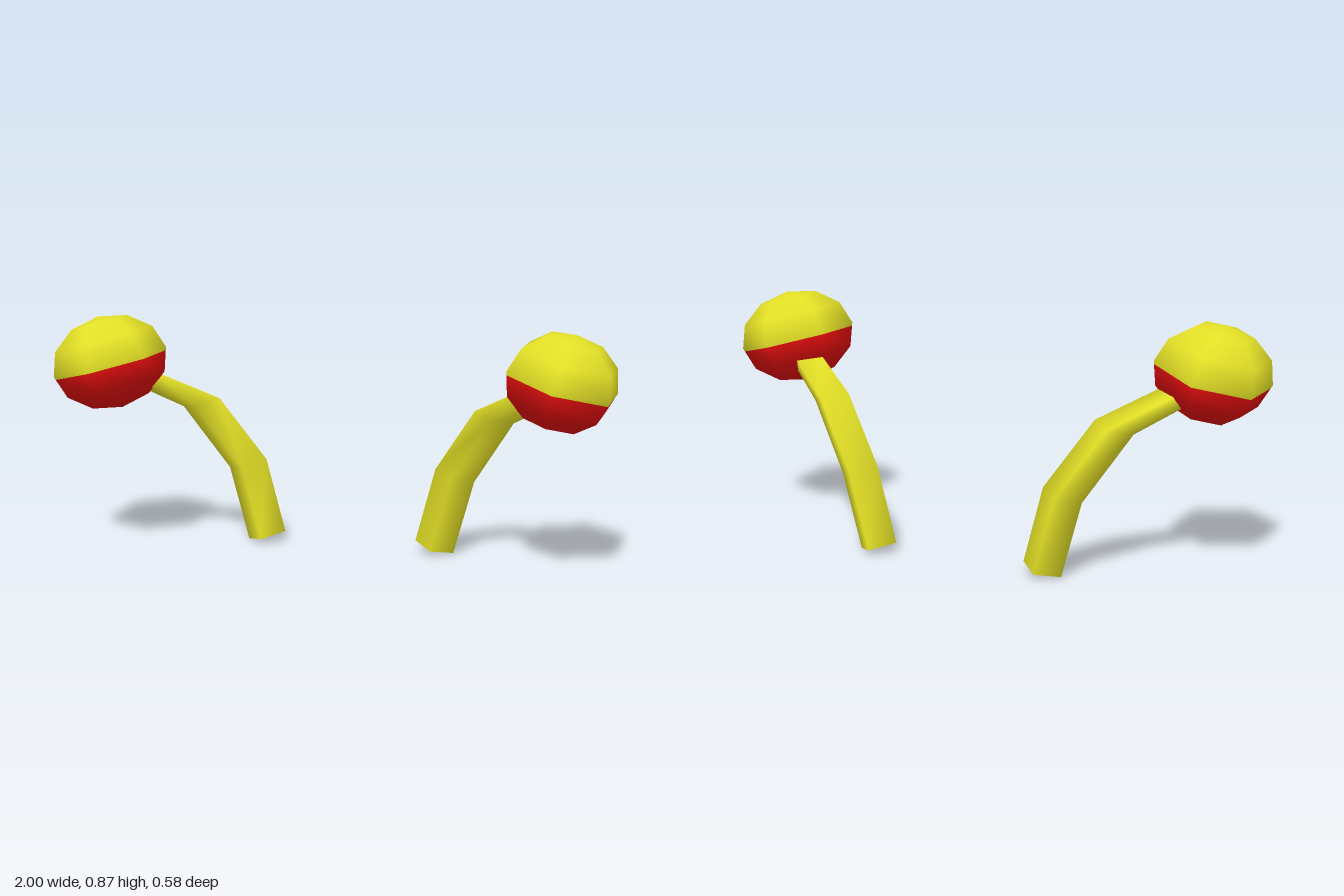
import * as THREE from 'three';

const yellow = new THREE.MeshStandardMaterial({ name: 'yellow', color: 0xe3e026 });
const red = new THREE.MeshStandardMaterial({ name: 'red', color: 0xe00d0d });
const TILT = THREE.MathUtils.degToRad(15);

// stalk stations: centre x, y, z and half diagonal of the four-sided section
const STATIONS = [
  [0.323, 0.022, -0.213, 0.074],
  [0.396, 0.294, -0.213, 0.075],
  [0.552, 0.532, -0.14, 0.073],
  [0.77, 0.66, 0.01, 0.064],
];

// four-sided bent stalk, all sections tilted alike
function stalkGeometry(side) {
  const pos = [], index = [];
  const addRing = ([x, y, z, r]) => {
    for (let k = 0; k < 4; k++) {
      const a = k * Math.PI / 2, u = r * Math.sin(a);
      pos.push(side * x + u * Math.cos(TILT), y - side * u * Math.sin(TILT), z + r * Math.cos(a));
    }
  };
  STATIONS.forEach(addRing);
  for (let i = 0; i < STATIONS.length - 1; i++) {
    for (let k = 0; k < 4; k++) {
      const a = i * 4 + k, b = i * 4 + (k + 1) % 4;
      index.push(a, b, b + 4, a, b + 4, a + 4);
    }
  }
  // end caps with their own corners
  let n = pos.length / 3;
  addRing(STATIONS[0]);
  index.push(n, n + 2, n + 1, n, n + 3, n + 2);
  n += 4;
  addRing(STATIONS[STATIONS.length - 1]);
  index.push(n, n + 1, n + 2, n, n + 2, n + 3);
  const g = new THREE.BufferGeometry();
  g.setAttribute('position', new THREE.Float32BufferAttribute(pos, 3));
  g.setIndex(index);
  g.computeVertexNormals();
  return g;
}

// six-sided piece of the ball with round shading
function ballGeometry(profile) {
  const g = new THREE.LatheGeometry(profile.map(([r, y]) => new THREE.Vector2(r, y)), 6);
  const p = g.attributes.position, v = new THREE.Vector3();
  for (let i = 0; i < p.count; i++) {
    v.fromBufferAttribute(p, i).normalize();
    g.attributes.normal.setXYZ(i, v.x, v.y, v.z);
  }
  return g.scale(0.209, 0.17, 0.218);
}

function antenna(side) {
  const group = new THREE.Group();
  group.name = side > 0 ? 'leftAntenna' : 'rightAntenna';
  const add = (parent, name, geometry, material) => {
    const m = new THREE.Mesh(geometry, material);
    m.name = name;
    parent.add(m);
  };
  add(group, 'stalk', stalkGeometry(side), yellow);

  // two-coloured ball, leaning outwards
  const ball = new THREE.Group();
  ball.name = 'ball';
  const border = [0.981, -0.07];
  add(ball, 'ballTop', ballGeometry([border, [1, 0], [0.866, 0.5], [0.5, 0.866], [0, 1]]), yellow);
  add(ball, 'ballBottom', ballGeometry([[0, -1], [0.5, -0.866], [0.866, -0.5], border]), red);
  ball.position.set(side * 0.825, 0.704, 0.07);
  ball.rotation.z = -side * TILT;
  group.add(ball);
  return group;
}

export function createModel() {
  const model = new THREE.Group();
  model.name = 'antennae';
  for (const side of [1, -1]) model.add(antenna(side));
  return model;
}
